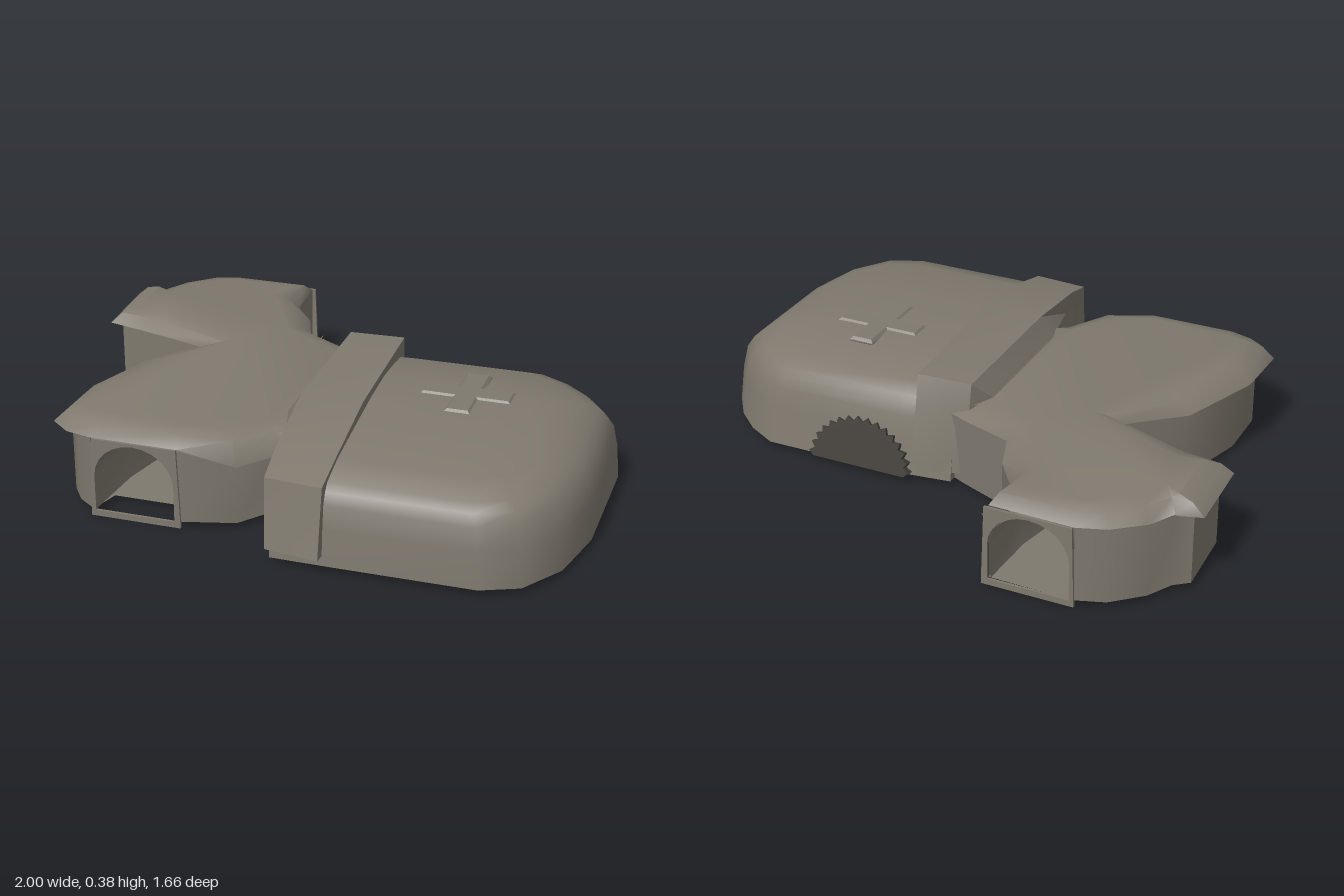
import * as THREE from 'three';
import { toCreasedNormals } from 'three/addons/utils/BufferGeometryUtils.js';

const V = (x, y, z) => new THREE.Vector3(x, y, z);

// Skin a stack of equal-length point rings; optionally cap the last ring
function loft(rings, { closed = true, cap = false, skip = [], crease = 0.7 } = {}) {
  const n = rings[0].length, index = [];
  for (let i = 0; i < rings.length - 1; i++) {
    for (let j = 0; j < (closed ? n : n - 1); j++) {
      if (i === 0 && skip.includes(j)) continue;
      const k = (j + 1) % n;
      const a = i * n + j, b = i * n + k, c = b + n, d = a + n;
      index.push(a, b, c, a, c, d);
    }
  }
  if (cap) {
    const o = (rings.length - 1) * n;
    const flat = rings[rings.length - 1].map((p) => new THREE.Vector2(p.x, -p.z));
    for (const f of THREE.ShapeUtils.triangulateShape(flat, [])) index.push(...f.map((q) => q + o));
  }
  const g = new THREE.BufferGeometry().setFromPoints(rings.flat());
  g.setIndex(index);
  return toCreasedNormals(g, crease);
}

// Move an outline inward along its averaged corner normals
function inset(points, d, height) {
  const n = points.length;
  return points.map((p, i) => {
    const a = points[(i + n - 1) % n], b = points[(i + 1) % n];
    const t = new THREE.Vector2(b.x - a.x, b.z - a.z).normalize();
    const x = p.x + t.y * d, z = p.z - t.x * d;
    return V(x, height(x), z);
  });
}

// Downward-facing floor inside an outline
function floorGeometry(points) {
  const s = new THREE.Shape(points.map((p) => new THREE.Vector2(p.x, p.z)));
  return new THREE.ShapeGeometry(s).rotateX(Math.PI / 2).translate(0, 0.02, 0);
}

export function createModel() {
  const model = new THREE.Group();
  model.name = 'shelterBuilding';
  const stone = new THREE.MeshStandardMaterial({ color: 0x7f796e, side: THREE.DoubleSide });
  stone.name = 'warm grey stone';
  const dark = new THREE.MeshStandardMaterial({ color: 0x403d37, side: THREE.DoubleSide });
  dark.name = 'dark rubble';
  const add = (name, geometry, material = stone) => {
    const m = new THREE.Mesh(geometry, material);
    m.name = name;
    model.add(m);
    return m;
  };

  // Main hall: rounded block with a domed roof, its straight left end under the rib
  const hall = [[0.02, 0.785], [0.22, 0.787], [0.72, 0.785], [0.85, 0.73], [0.95, 0.58], [1, 0.35],
    [1, 0.1], [1, -0.13], [0.93, -0.23], [0.84, -0.31], [0.73, -0.37], [0.22, -0.365], [0.02, -0.34]];
  const hallRing = ([sx, sz, y]) => hall.map(([x, z]) => V(
    x > 0.25 ? 0.25 + (x - 0.25) * sx : x, y,
    0.05 + (z - 0.05) * sz + (z < 0 ? 0.12 * (y - 0.02) : 0)));
  const hallRings = [[1, 1, 0.02], [0.99, 0.985, 0.15], [0.97, 0.97, 0.23], [0.935, 0.945, 0.27],
    [0.9, 0.91, 0.295], [0.83, 0.77, 0.325], [0.73, 0.42, 0.346], [0.62, 0.2, 0.355]].map(hallRing);
  add('hallShell', loft(hallRings, { cap: true, crease: 0.9 }));
  add('hallFloor', floorGeometry(hallRings[0]));

  // Rib across the hall: z, y, left x, right x, skirt offset, left side z shift
  const rib = [[0.83, 0.06, 0.01, 0.2, 0.01, -0.025], [0.78, 0.3, 0, 0.2, 0.01, -0.015],
    [0.63, 0.337, -0.01, 0.2, 0, 0], [0.3, 0.385, -0.03, 0.19, -0.05, 0],
    [-0.28, 0.38, -0.03, 0.17, -0.05, 0.01], [-0.32, 0.28, -0.03, 0.16, -0.04, 0.03],
    [-0.375, 0.05, -0.03, 0.16, 0, 0.06]];
  const inner = (x, y, z) => V(x, 0.02 + (y - 0.02) * 0.8, 0.22 + (z - 0.22) * 0.86);
  add('roofRib', loft(rib.map(([z, y, l, r, o, dz]) =>
    [inner(l + o, y, z + dz), V(l, y, z + dz), V(r, y, z), inner(r, y, z)]),
  { closed: false, crease: 0.35 }));

  // Raised cross on the hall roof, with slightly flared arms and sloping sides
  const cross = new THREE.Shape();
  for (let i = 0; i < 4; i++) {
    const c = Math.round(Math.cos(i * Math.PI / 2)), s = Math.round(Math.sin(i * Math.PI / 2));
    for (const [x, y] of [[0.036, -0.036], [0.15, -0.036], [0.15, 0.036]]) {
      const px = x * c - y * s, py = x * s + y * c;
      if (i === 0 && x === 0.036) cross.moveTo(px, py);
      else cross.lineTo(px, py);
    }
  }
  const crossGeo = new THREE.ExtrudeGeometry(cross,
    { depth: 0.004, bevelThickness: 0.01, bevelSize: 0.01, bevelSegments: 1 });
  add('roofCross', crossGeo.rotateX(-Math.PI / 2).translate(0.495, 0.348, 0.06));

  // Side chambers: roof rim x, z, height, and wall offset below the overhang
  const rim = [[-0.53, -0.155, 0.29], [-0.72, 0.02, 0.28, 0.02, 0.02], [-0.83, 0.32, 0.28, 0.05, 0],
    [-0.84, 0.55, 0.28, 0.06, -0.02], [-0.76, 0.62, 0.285, 0.03, -0.02], [-0.66, 0.65, 0.29],
    [-0.35, 0.65, 0.29], [-0.16, 0.6, 0.23], [-0.05, 0.46, 0.23], [0.06, 0.4, 0.27],
    [0.06, -0.29, 0.27], [-0.04, -0.335, 0.27], [-0.23, -0.41, 0.28], [-0.28, -0.55, 0.28],
    [-0.36, -0.66, 0.28], [-0.36, -0.82, 0.29], [-0.66, -0.825, 0.29], [-0.76, -0.79, 0.29],
    [-0.86, -0.7, 0.285], [-0.91, -0.61, 0.285], [-1, -0.59, 0.285, 0.04, 0.02],
    [-0.99, -0.29, 0.285, 0.04, -0.02], [-0.83, -0.25, 0.285, 0, -0.02]];
  const rimRing = rim.map(([x, z, y]) => V(x, y, z));
  const wallRing = (h) => rim.map(([x, z, y, dx = 0, dz = 0]) => V(x + dx, h ?? y - 0.005, z + dz));
  const roofY = (drop) => (x) => 0.337 - drop - Math.max(0, x + 0.3) * 0.13;
  add('chamberWalls', loft([wallRing(0.02), wallRing()], { skip: [5, 15] }));
  add('chamberRoof', loft([wallRing(), rimRing, inset(rimRing, 0.045, roofY(0.014)),
    inset(rimRing, 0.1, roofY(0))], { cap: true, skip: [5, 15], crease: 0.8 }));
  // The floor stops short inside the front doorway
  const floorOutline = wallRing(0.02);
  floorOutline.splice(6, 0, V(-0.63, 0.02, 0.54), V(-0.38, 0.02, 0.54));
  add('chamberFloor', floorGeometry(floorOutline));

  // Arched passage that narrows between the two doorways
  const arch = (cx, w, top, z, foot = w) => {
    const pts = [V(cx - foot, 0.022, z)];
    for (let i = 0; i <= 12; i++) {
      const a = Math.PI * (1 - i / 12);
      pts.push(V(cx + w * Math.cos(a), top - 0.13 + 0.13 * Math.sin(a), z));
    }
    return [...pts, V(cx + foot, 0.022, z)];
  };
  add('passage', loft([arch(-0.505, 0.145, 0.28, 0.65), arch(-0.5, 0.13, 0.275, 0.4),
    arch(-0.485, 0.03, 0.25, -0.15, 0.012), arch(-0.5, 0.12, 0.275, -0.6),
    arch(-0.51, 0.14, 0.28, -0.825)], { closed: false, crease: 1 }));

  // Thin doorway frames at the front and back
  for (const [name, z] of [['frontDoorway', 0.65], ['backDoorway', -0.835]]) {
    const frame = new THREE.Shape([[-0.665, 0], [-0.34, 0], [-0.35, 0.29], [-0.655, 0.29]]
      .map(([x, y]) => new THREE.Vector2(x, y)));
    frame.holes.push(new THREE.Path(arch(-0.505, 0.143, 0.28, 0).map((p) => new THREE.Vector2(p.x, p.y))));
    add(name, new THREE.ExtrudeGeometry(frame, { depth: 0.009, bevelEnabled: false }).translate(0, 0, z));
  }

  // Ragged half-round patch leaning on the back wall
  const patch = [];
  for (let i = 0; i <= 32; i++) {
    const a = Math.PI * i / 32, r = i % 2 ? 1 : 0.9;
    patch.push(new THREE.Vector2(0.2 * r * Math.cos(a), 0.18 * r * Math.sin(a)));
  }
  const rubble = add('rubblePatch', new THREE.ExtrudeGeometry(new THREE.Shape(patch),
    { depth: 0.03, bevelEnabled: false }), dark);
  rubble.position.set(0.36, 0.022, -0.39);
  rubble.rotation.x = 0.25;

  // Loose shard beside the back chamber
  const shard = new THREE.BufferGeometry().setFromPoints(
    [V(-0.295, 0.135, -0.69), V(-0.282, 0.135, -0.65), V(-0.27, 0.165, -0.69)]);
  shard.computeVertexNormals();
  add('looseShard', shard);

  return model;
}
